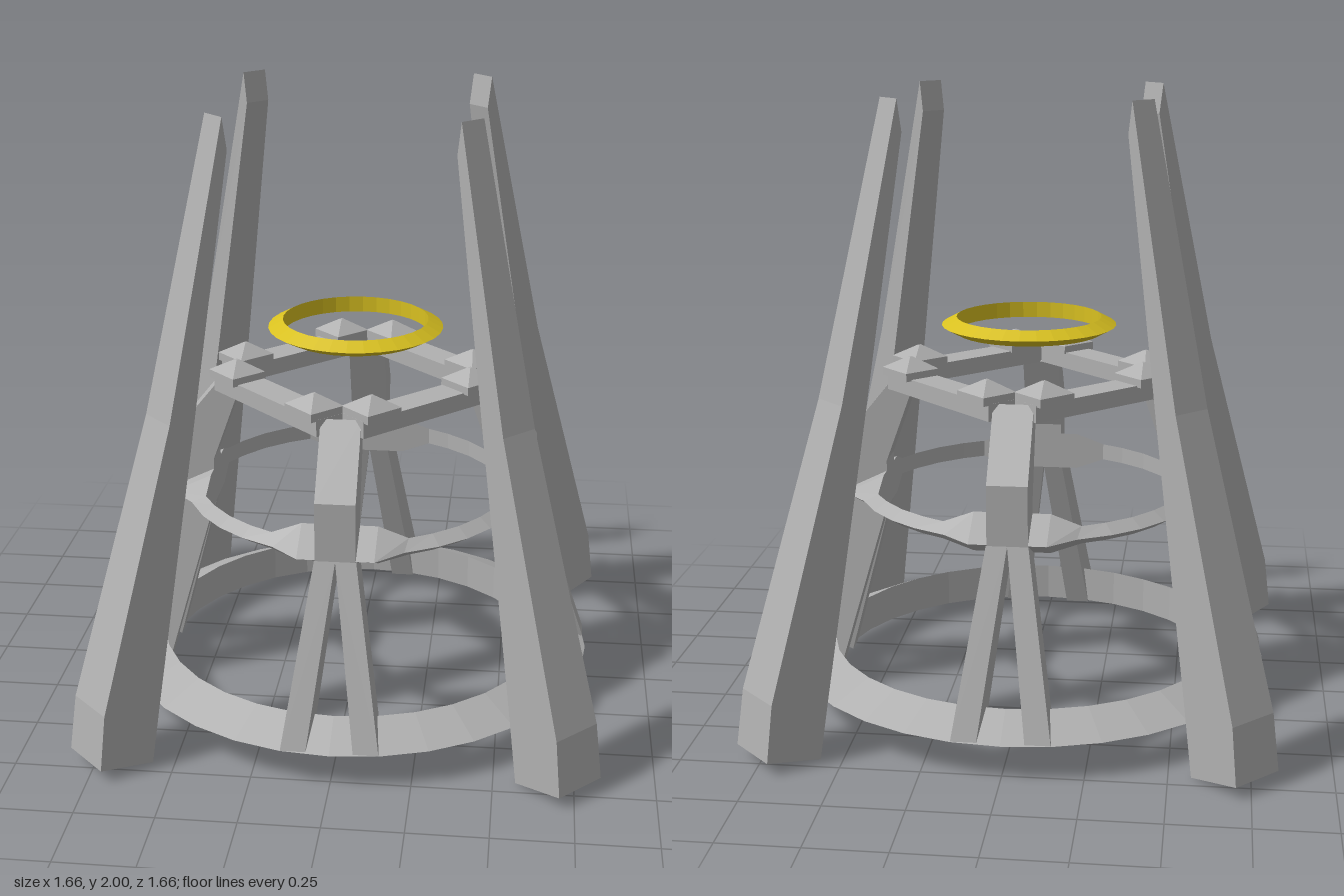
import * as THREE from 'three';

const steel = new THREE.MeshStandardMaterial({ color: 0xb0b0b0 });
steel.name = 'grey steel';
const gold = new THREE.MeshStandardMaterial({ color: 0xd8c020 });
gold.name = 'yellow gold';

// Skins a list of equal-sized cross-sections; closed loops join last to first, open ones get caps.
function loft(sections, closed = false) {
  const tris = [];
  const n = sections[0].length, m = sections.length;
  for (let i = 0; i < (closed ? m : m - 1); i++) {
    const a = sections[i], b = sections[(i + 1) % m];
    for (let j = 0; j < n; j++) {
      const k = (j + 1) % n;
      tris.push([a[j], a[k], b[k]], [a[j], b[k], b[j]]);
    }
  }
  if (!closed) {
    const a = sections[0], b = sections[m - 1];
    for (let j = 1; j < n - 1; j++) tris.push([a[0], a[j + 1], a[j]], [b[0], b[j], b[j + 1]]);
  }
  // Turn all faces outward, using the sign of the enclosed volume
  let volume = 0;
  const [p, q, r] = [0, 1, 2].map(() => new THREE.Vector3());
  for (const t of tris) {
    p.fromArray(t[0]); q.fromArray(t[1]); r.fromArray(t[2]);
    volume += p.dot(q.cross(r));
  }
  if (volume < 0) tris.forEach((t) => t.reverse());
  const geometry = new THREE.BufferGeometry();
  geometry.setAttribute('position', new THREE.Float32BufferAttribute(tris.flat(2), 3));
  geometry.computeVertexNormals();
  return geometry;
}

// Ring with a triangular section: sharp outer edge, upright inner wall
function wedgeRing(inner, outer, y, half, sides) {
  const sections = [];
  for (let i = 0; i < sides; i++) {
    const a = (i / sides) * Math.PI * 2, s = Math.sin(a), c = Math.cos(a);
    sections.push([
      [inner * s, y - half, inner * c],
      [outer * s, y, outer * c],
      [inner * s, y + half, inner * c],
    ]);
  }
  return loft(sections, true);
}

// Middle ring: slim arcs that swell into a pad on each of the four sides
function paddedRing() {
  const y = 0.683, sections = [];
  const arc = (deg) => {
    const a = THREE.MathUtils.degToRad(deg), s = Math.sin(a), c = Math.cos(a);
    return [0.515 * s, 0.515 * c, 0.557 * s, 0.557 * c, 0.028];
  };
  const quarter = [
    [-0.215, 0.47, -0.205, 0.52, 0.028],
    [-0.12, 0.47, -0.12, 0.6, 0.063],
    [0.12, 0.47, 0.12, 0.6, 0.063],
    [0.215, 0.47, 0.205, 0.52, 0.028],
    arc(33.75), arc(45), arc(56.25),
  ];
  for (let k = 0; k < 4; k++) {
    const s = Math.round(Math.sin(k * Math.PI / 2)), c = Math.round(Math.cos(k * Math.PI / 2));
    for (const [xi, zi, xo, zo, h] of quarter) {
      const at = (x, z, dy) => [x * c + z * s, y + dy, z * c - x * s];
      sections.push([at(xi, zi, -h), at(xo, zo, 0), at(xi, zi, h)]);
    }
  }
  return loft(sections, true);
}

// Tall bent pylon leaning inward; rows are outer r, outer y, inner r, inner y, half width
function pylon() {
  const rows = [
    [1.085, 0.04, 0.896, 0, 0.09],
    [1.06, 0.22, 0.862, 0.18, 0.086],
    [0.77, 1.1, 0.69, 1.04, 0.065],
    [0.538, 2, 0.522, 1.9, 0.044],
  ];
  return loft(rows.map(([ro, yo, ri, yi, w]) => [[-w, yo, ro], [w, yo, ro], [w, yi, ri], [-w, yi, ri]]));
}

// Cranked upper post above each pad
function post() {
  const rows = [
    [0.6, 0.67, 0.47, 0.63], [0.6, 0.87, 0.47, 0.78], [0.43, 1.08, 0.38, 1.03],
  ];
  return loft(rows.map(([zo, yo, zi, yi]) => [
    [-0.063, yo, zo], [0.063, yo, zo], [0.063, yi, zi], [-0.063, yi, zi]]));
}

// One splayed strut of the forked leg
function strut(side) {
  const rows = [[0, 0.065, 0.6, 0.68, 0.47, 0.63], [0.073, 0.152, 0.782, 0.12, 0.63, 0.05]];
  return loft(rows.map(([x0, x1, zo, yo, zi, yi]) => [
    [side * x0, yo, zo], [side * x1, yo, zo], [side * x1, yi, zi], [side * x0, yi, zi]]));
}

// Clamp block with a low pointed roof
function clamp() {
  const w = 0.064, d = 0.067;
  const ring = (y, k) => [[-d * k, y, -w * k], [d * k, y, -w * k], [d * k, y, w * k], [-d * k, y, w * k]];
  return loft([ring(1.08, 1), ring(1.107, 1), ring(1.145, 0.08)]);
}

export function createModel() {
  const model = new THREE.Group();
  model.name = 'tower';
  const add = (parent, name, geometry, material = steel) => {
    const mesh = new THREE.Mesh(geometry, material);
    mesh.name = name;
    parent.add(mesh);
    return mesh;
  };

  add(model, 'baseRing', wedgeRing(0.655, 0.79, 0.115, 0.062, 32));
  add(model, 'middleRing', paddedRing());
  add(model, 'floatingRing', wedgeRing(0.237, 0.285, 1.245, 0.026, 32), gold);

  const pylonGeo = pylon(), postGeo = post(), clampGeo = clamp();
  const strutGeos = [strut(-1), strut(1)];
  const barGeo = new THREE.BoxGeometry(0.545, 0.055, 0.103);

  for (let k = 0; k < 4; k++) {
    // Forked leg and post on each side
    const leg = new THREE.Group();
    leg.name = 'leg';
    leg.rotation.y = k * Math.PI / 2;
    add(leg, 'post', postGeo);
    strutGeos.forEach((g) => add(leg, 'strut', g));
    model.add(leg);

    // Pylon, frame bar and its two clamps on each diagonal
    const corner = new THREE.Group();
    corner.name = 'corner';
    corner.rotation.y = (k + 0.5) * Math.PI / 2;
    add(corner, 'pylon', pylonGeo);
    add(corner, 'frameBar', barGeo).position.set(0, 1.057, 0.324);
    for (const side of [-1, 1]) add(corner, 'clamp', clampGeo).position.set(side * 0.205, 0, 0.331);
    model.add(corner);
  }
  return model;
}
